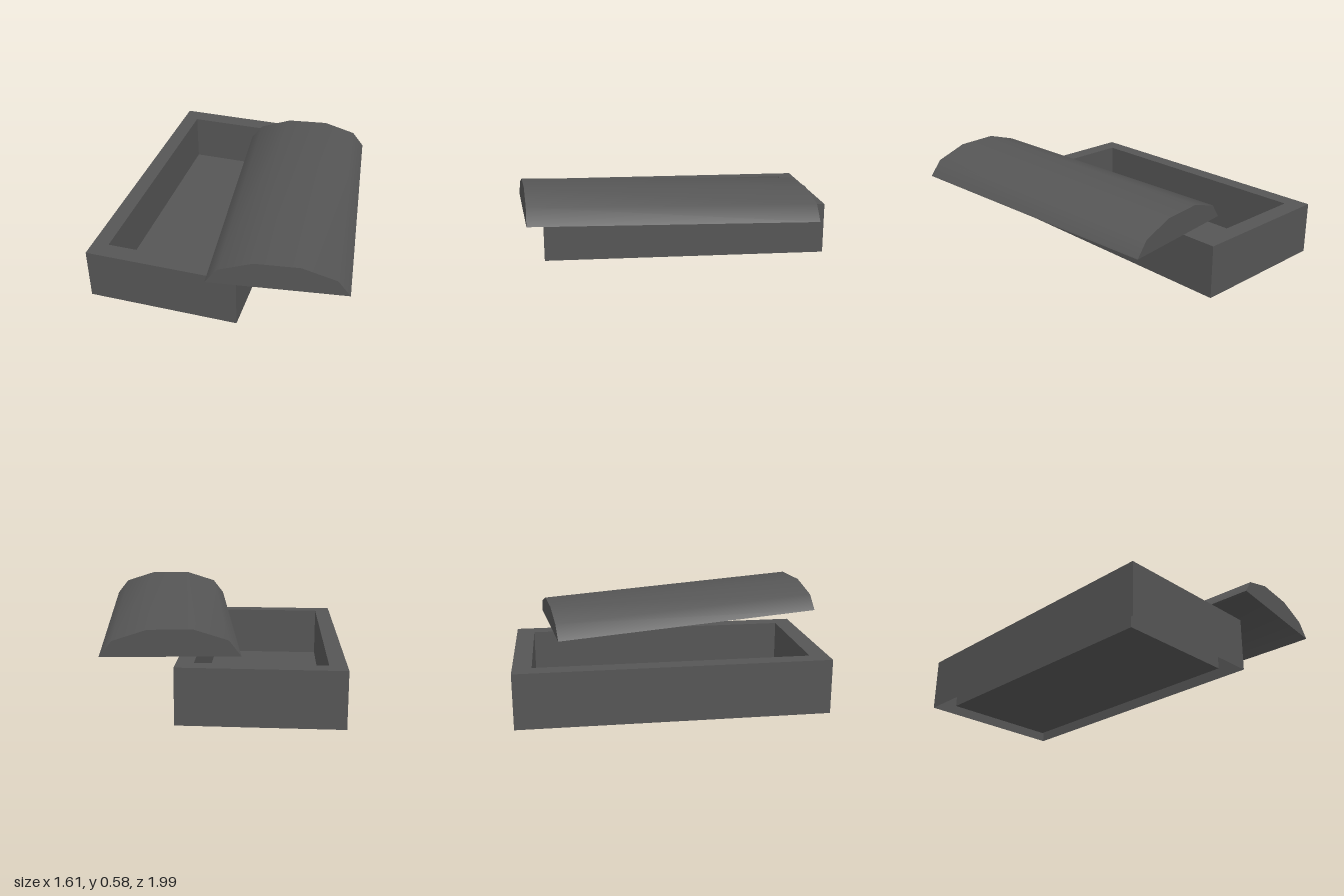
import * as THREE from 'three';

const stone = new THREE.MeshStandardMaterial({ color: 0x555555, side: THREE.DoubleSide });
stone.name = 'dark grey stone';

// Quad strip between two matching rows of points.
function strip(a, b, smooth) {
  const n = a.length, index = [];
  for (let i = 0; i < n - 1; i++) index.push(i, i + 1, n + i + 1, i, n + i + 1, n + i);
  let geo = new THREE.BufferGeometry();
  geo.setAttribute('position', new THREE.Float32BufferAttribute([...a, ...b].flat(), 3));
  geo.setIndex(index);
  if (!smooth) geo = geo.toNonIndexed();
  geo.computeVertexNormals();
  return geo;
}

// Closed rectangular ring at height y.
function ring(x0, x1, z0, z1, y) {
  return [[x0, y, z1], [x1, y, z1], [x1, y, z0], [x0, y, z0], [x0, y, z1]];
}

function add(group, name, geo) {
  const mesh = new THREE.Mesh(geo, stone);
  mesh.name = name;
  group.add(mesh);
  return mesh;
}

function createChest() {
  const chest = new THREE.Group();
  chest.name = 'chest';
  const outer = [-0.81, 0.135, -1, 0.84], inner = [-0.71, 0.035, -0.89, 0.73];
  const top = 0.33, floorY = 0.01;

  add(chest, 'outerWalls', strip(ring(...outer, 0), ring(...outer, top)));
  add(chest, 'rim', strip(ring(...outer, top), ring(...inner, top)));
  add(chest, 'innerWalls', strip(ring(...inner, top), ring(...inner, floorY)));

  const [x0, x1, z0, z1] = inner;
  const floor = add(chest, 'floor', new THREE.PlaneGeometry(x1 - x0, z1 - z0).rotateX(-Math.PI / 2));
  floor.position.set((x0 + x1) / 2, floorY, (z0 + z1) / 2);
  return chest;
}

function createLid() {
  const lid = new THREE.Group();
  lid.name = 'lid';
  const half = 0.873;
  const profile = [[-0.406, 0], [-0.333, 0.094], [-0.131, 0.159], [0.131, 0.159], [0.333, 0.094], [0.406, 0]];

  // Hollow arched shell
  add(lid, 'arch', strip(profile.map(([x, y]) => [x, y, half]), profile.map(([x, y]) => [x, y, -half]), true));

  // End plates
  const shape = new THREE.Shape(profile.map(([x, y]) => new THREE.Vector2(x, y)));
  add(lid, 'frontEnd', new THREE.ShapeGeometry(shape)).position.z = half;
  const back = add(lid, 'backEnd', new THREE.ShapeGeometry(shape));
  back.position.z = -half;
  back.rotation.y = Math.PI;

  // Slid aside, turned and leaning on the chest
  lid.position.set(0.291, 0.38, 0.075);
  lid.rotation.set(-0.049, 0.128, 0.006, 'YXZ');
  return lid;
}

export function createModel() {
  const model = new THREE.Group();
  model.name = 'openChest';
  model.add(createChest(), createLid());
  return model;
}
